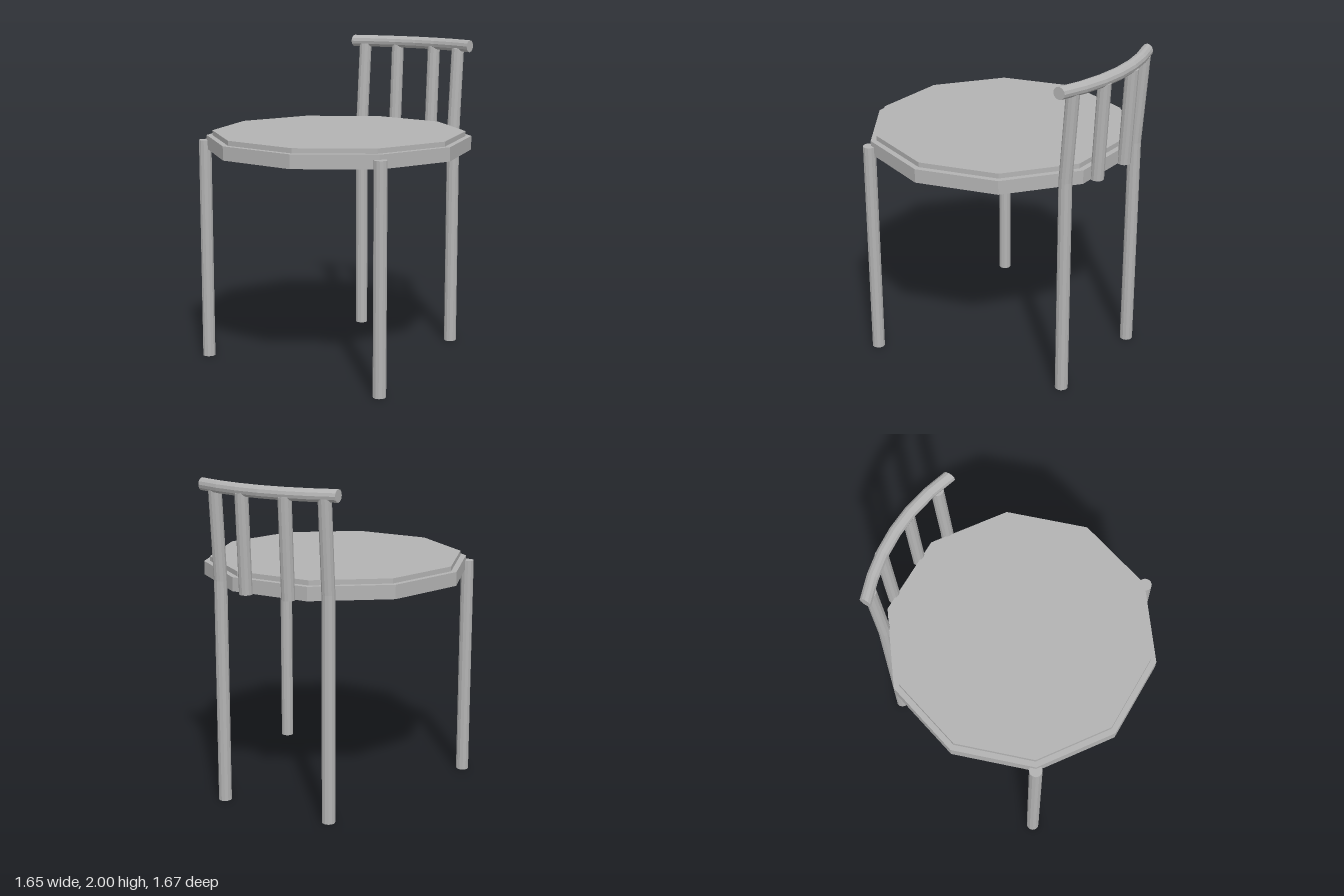
import * as THREE from 'three';

const grey = new THREE.MeshStandardMaterial({ color: 0xb3b3b3 });

// Faceted mesh: every face keeps its own normal
function part(name, geometry, parent) {
  const faceted = geometry.toNonIndexed();
  faceted.computeVertexNormals();
  const mesh = new THREE.Mesh(faceted, grey);
  mesh.name = name;
  parent.add(mesh);
  return mesh;
}

// Upright round bar from y0 to y1, leaning in z, with level ends
function bar(name, x, y0, z0, y1, z1, parent) {
  const geometry = new THREE.CylinderGeometry(0.04, 0.04, y1 - y0, 12);
  geometry.translate(x, (y0 + y1) / 2, 0);
  const p = geometry.attributes.position;
  for (let i = 0; i < p.count; i++) {
    const t = (p.getY(i) - y0) / (y1 - y0);
    p.setZ(i, p.getZ(i) + z0 + (z1 - z0) * t);
  }
  return part(name, geometry, parent);
}

// Ten-sided slab with corners pointing to the sides
function slab(name, radius, y0, y1, parent) {
  const geometry = new THREE.CylinderGeometry(radius, radius, y1 - y0, 10, 1, false, Math.PI / 2);
  geometry.translate(0, (y0 + y1) / 2, 0.048);
  return part(name, geometry, parent);
}

export function createModel() {
  const chair = new THREE.Group();
  chair.name = 'chair';

  // Seat frame and the slightly smaller pad on it
  slab('seatFrame', 0.826, 1.345, 1.43, chair);
  slab('seatPad', 0.79, 1.43, 1.46, chair);

  // Legs and backrest bars, mirrored
  for (const [side, s] of [['left', 1], ['right', -1]]) {
    bar(side + 'FrontLeg', s * 0.678, 0, 0.537, 1.4, 0.537, chair);
    bar(side + 'BackLeg', s * 0.37, 0, -0.692, 1.39, -0.692, chair);
    bar(side + 'BackPost', s * 0.37, 1.39, -0.692, 1.945, -0.732, chair);
    bar(side + 'Spindle', s * 0.145, 1.345, -0.762, 1.945, -0.792, chair);
  }

  // Top rail: a straight bar bowed backwards in the middle
  const rail = new THREE.CylinderGeometry(0.0385, 0.0385, 0.92, 12, 6);
  rail.rotateZ(Math.PI / 2);
  const p = rail.attributes.position;
  for (let i = 0; i < p.count; i++) {
    const bow = (p.getX(i) / 0.46) ** 2;
    p.setZ(i, p.getZ(i) - 0.797 + 0.087 * bow);
  }
  rail.translate(0.015, 1.9615, 0);
  part('topRail', rail, chair);

  return chair;
}
